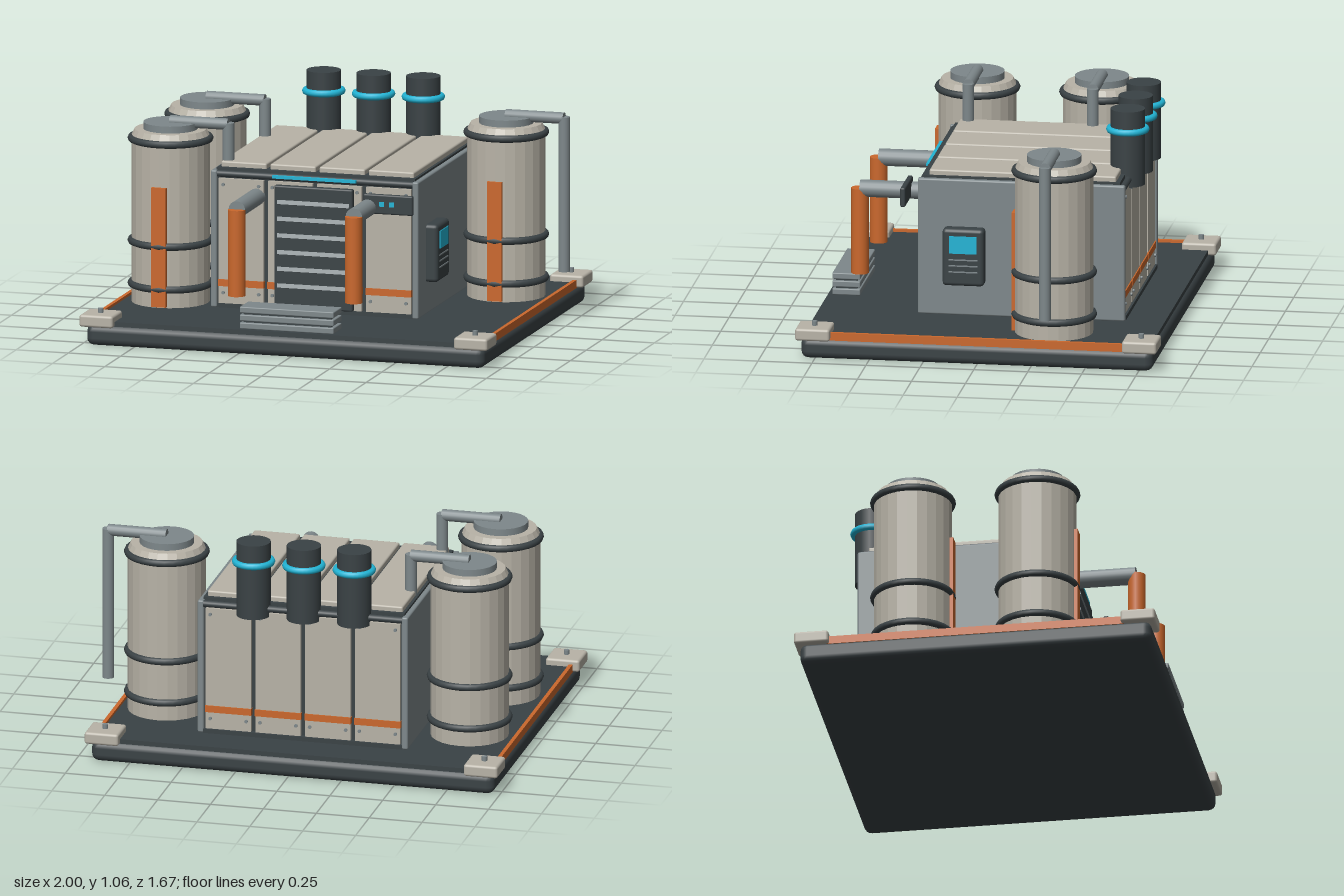
import * as THREE from 'three';
import { RoundedBoxGeometry } from 'three/addons/geometries/RoundedBoxGeometry.js';

const mat = (color, flatShading = false) => new THREE.MeshStandardMaterial({ color, flatShading });
const DARK = mat(0x3a4245), CREAM = mat(0xb8b3a7), GREY = mat(0x7e888b);
const ORANGE = mat(0xcb682c), CYAN = mat(0x22b5d6);
const CREAM_FLAT = mat(0xb8b3a7, true);
const CX = -0.023; // middle of the base plate and cabin
const BAYS = [-1.5, -0.5, 0.5, 1.5].map((i) => CX + i * 0.235);

export function createModel() {
  const root = new THREE.Group();

  const add = (parent, name, geometry, material, x, y, z) => {
    const m = new THREE.Mesh(geometry, material);
    m.name = name;
    m.position.set(x, y, z);
    parent.add(m);
    return m;
  };
  // box given by its limits, with optional rounding
  const box = (parent, name, material, x0, x1, y0, y1, z0, z1, r = 0) => {
    const s = [x1 - x0, y1 - y0, z1 - z0];
    const g = r ? new RoundedBoxGeometry(...s, 2, r) : new THREE.BoxGeometry(...s);
    return add(parent, name, g, material, (x0 + x1) / 2, (y0 + y1) / 2, (z0 + z1) / 2);
  };
  // straight cylinder between two points
  const rod = (parent, name, material, a, b, r, sides = 16) => {
    const p = new THREE.Vector3(...a), q = new THREE.Vector3(...b);
    const d = q.clone().sub(p);
    const m = add(parent, name, new THREE.CylinderGeometry(r, r, d.length(), sides), material, 0, 0, 0);
    m.position.copy(p.add(q).multiplyScalar(0.5));
    m.quaternion.setFromUnitVectors(new THREE.Vector3(0, 1, 0), d.normalize());
    return m;
  };
  const ring = (parent, name, material, radius, tube, x, y, z) => {
    const g = new THREE.TorusGeometry(radius, tube, 8, 32).rotateX(Math.PI / 2);
    return add(parent, name, g, material, x, y, z);
  };
  const group = (name) => {
    const g = new THREE.Group();
    g.name = name;
    root.add(g);
    return g;
  };

  // base plate with corner feet and side trim
  const base = group('base');
  box(base, 'basePlate', DARK, CX - 0.952, CX + 0.952, 0, 0.1, -0.815, 0.815, 0.035);
  box(base, 'deck', DARK, CX - 0.93, CX + 0.93, 0.08, 0.115, -0.8, 0.8);
  for (const sx of [-1, 1]) {
    const x = CX + sx * 0.936;
    box(base, 'sideTrim', ORANGE, x - 0.009, x + 0.009, 0.09, 0.127, -0.7, 0.7);
    for (const sz of [-1, 1]) {
      const fx = CX + sx * 0.896, fz = sz * 0.757;
      box(base, 'cornerBlock', CREAM, fx - 0.08, fx + 0.08, 0.09, 0.147, fz - 0.08, fz + 0.08, 0.012);
      rod(base, 'cornerBolt', GREY, [fx, 0.14, fz], [fx, 0.168, fz], 0.013, 10);
    }
  }

  // cabin: dark core, side walls, wall and roof panels
  const cabin = group('cabin');
  box(cabin, 'core', DARK, CX - 0.475, CX + 0.475, 0.11, 0.765, -0.592, 0.318);
  for (const s of [-1, 1]) {
    const x = CX + s * 0.482;
    box(cabin, 'sideWall', GREY, x - 0.015, x + 0.015, 0.115, 0.755, -0.618, 0.342, 0.008);
  }
  for (const x of BAYS) {
    box(cabin, 'roofPanel', CREAM, x - 0.109, x + 0.109, 0.755, 0.79, -0.572, 0.293, 0.008);
    for (const [wall, z, s] of [['front', 0.32, 1], ['back', -0.595, -1]]) {
      box(cabin, wall + 'Panel', CREAM, x - 0.107, x + 0.107, 0.13, 0.718, z - 0.015, z + 0.015);
      box(cabin, wall + 'Stripe', ORANGE, x - 0.109, x + 0.109, 0.215, 0.247, z - 0.02, z + 0.02);
      for (const bx of [-0.085, 0.085]) for (const y of [0.185, 0.69]) {
        rod(cabin, 'panelBolt', GREY, [x + bx, y, z], [x + bx, y, z + s * 0.023], 0.008, 8);
      }
    }
  }
  for (const z of [0.322, -0.605]) {
    rod(cabin, 'topRail', DARK, [CX - 0.47, 0.738, z], [CX + 0.47, 0.738, z], 0.016, 12);
    box(cabin, 'bottomSill', DARK, CX - 0.47, CX + 0.47, 0.115, 0.135, z - 0.015, z + 0.015);
  }
  box(cabin, 'lightStrip', CYAN, CX - 0.2, CX + 0.2, 0.734, 0.748, 0.33, 0.348);

  // louvred front shutter
  const shutter = group('shutter');
  box(shutter, 'shutterFrame', DARK, CX - 0.188, CX + 0.188, 0.135, 0.705, 0.32, 0.36, 0.008);
  for (let i = 0; i < 6; i++) {
    const slat = box(shutter, 'slat', GREY, CX - 0.172, CX + 0.172, -0.018, 0.018, 0.349, 0.361);
    slat.position.y = 0.635 - i * 0.078;
    slat.rotation.x = -0.35;
  }

  // stacked entrance step
  const step = group('step');
  for (let i = 0; i < 3; i++) {
    const y = 0.115 + i * 0.037;
    box(step, 'tread', GREY, CX - 0.225, CX + 0.225, y, y + 0.029, 0.65, 0.78, 0.005);
  }
  box(step, 'stepCore', DARK, CX - 0.21, CX + 0.21, 0.11, 0.21, 0.665, 0.765);

  // front pipes bending down
  const pipes = group('frontPipes');
  for (const x of [CX - 0.28, CX + 0.28]) {
    rod(pipes, 'outletPipe', GREY, [x, 0.64, 0.32], [x, 0.64, 0.64], 0.04);
    rod(pipes, 'downPipe', ORANGE, [x, 0.24, 0.642], [x, 0.642, 0.642], 0.041);
  }

  // indicator plate on the front
  const indicator = group('indicatorPlate');
  box(indicator, 'plate', DARK, 0.235, 0.472, 0.613, 0.705, 0.4, 0.424, 0.008);
  for (const x of [0.325, 0.373]) box(indicator, 'lamp', CYAN, x - 0.011, x + 0.011, 0.65, 0.672, 0.42, 0.429);

  // control box on the left wall
  const control = group('controlBox');
  box(control, 'housing', DARK, 0.46, 0.53, 0.265, 0.535, 0.027, 0.22, 0.018);
  box(control, 'screen', CYAN, 0.52, 0.534, 0.42, 0.502, 0.06, 0.188);
  for (const y of [0.39, 0.362, 0.333]) box(control, 'keyRow', GREY, 0.52, 0.533, y - 0.003, y + 0.003, 0.055, 0.19);

  // exhaust stacks at the back
  for (const i of [-1, 0, 1]) {
    const stack = group('exhaustStack');
    const x = CX + i * 0.238, z = -0.592;
    rod(stack, 'stackPipe', DARK, [x, 0.7, z], [x, 1.057, z], 0.079, 24);
    ring(stack, 'stackBand', CYAN, 0.084, 0.016, x, 0.96, z);
  }

  // storage tanks with hoops, stripe and overflow pipe
  const profile = [[0, 0.112], [0.18, 0.112], [0.18, 0.89], [0.165, 0.92], [0.125, 0.92]];
  const tankShape = new THREE.LatheGeometry(profile.map(([r, y]) => new THREE.Vector2(r, y)), 24);
  for (const [x, z] of [[-0.738, -0.325], [-0.738, 0.252], [0.693, -0.325]]) {
    const tank = group('tank');
    add(tank, 'tankBody', tankShape, CREAM_FLAT, x, 0, z);
    rod(tank, 'tankCap', GREY, [x, 0.9, z], [x, 0.952, z], 0.125, 24);
    for (const y of [0.2, 0.4, 0.877]) ring(tank, 'tankHoop', DARK, 0.18, 0.017, x, y, z);
    box(tank, 'tankStripe', ORANGE, x - 0.035, x + 0.035, 0.12, 0.677, z + 0.165, z + 0.192);
    const px = x + 0.277;
    rod(tank, 'overflowPipe', GREY, [x, 0.955, z], [px, 0.955, z], 0.027);
    rod(tank, 'overflowDrop', GREY, [px, 0.24, z], [px, 0.962, z], 0.027);
  }
  return root;
}
